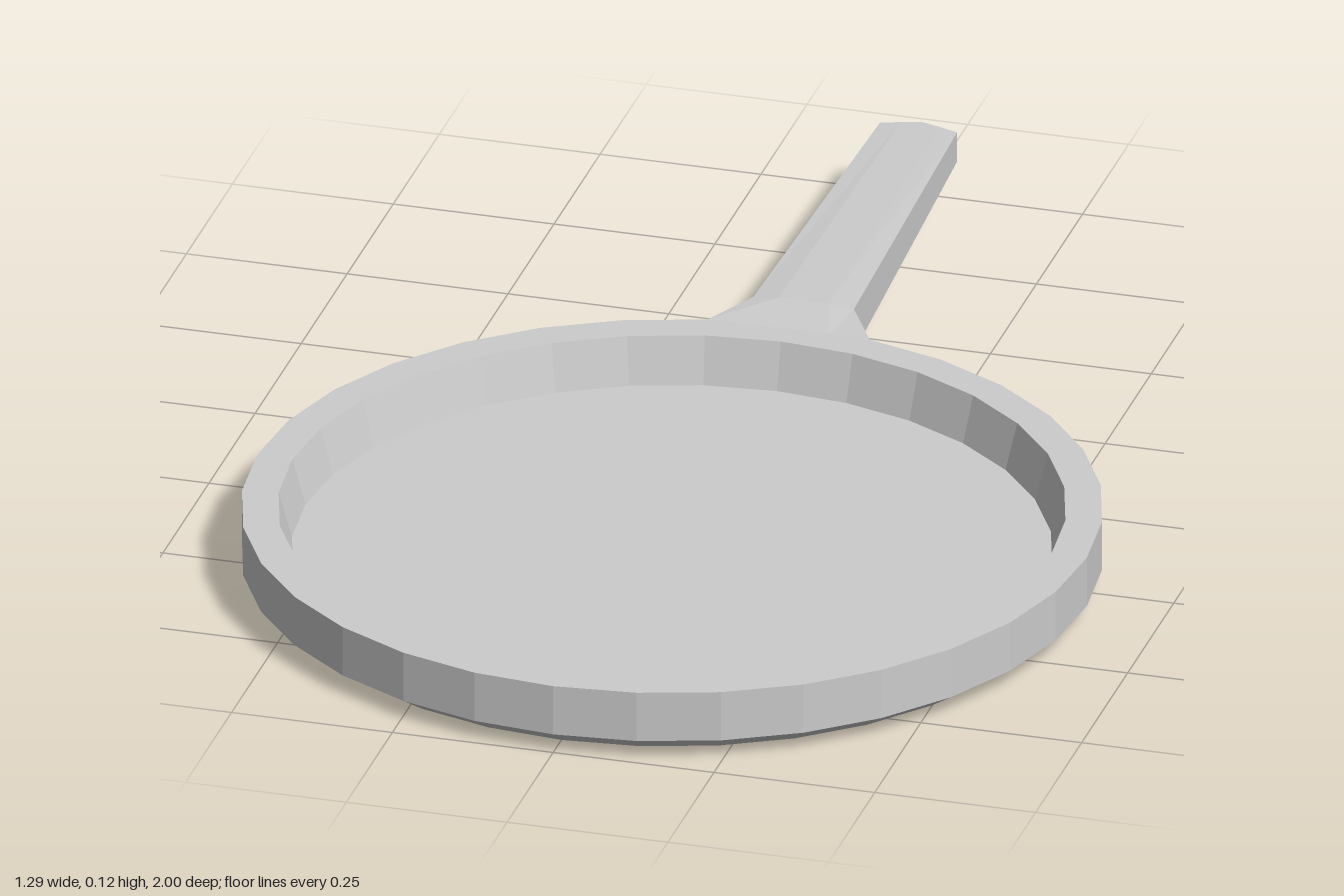
import * as THREE from 'three';

const material = new THREE.MeshStandardMaterial({ color: 0xcccccc, flatShading: true });

// Round dish: 32-sided, chamfered underneath, with a slightly tapered inner wall
function makeDish() {
  const profile = [
    [0, 0], [0.6, 0], [0.645, 0.03], [0.645, 0.11],
    [0.59, 0.11], [0.57, 0.037], [0, 0.037],
  ].map(([r, y]) => new THREE.Vector2(r, y));
  const dish = new THREE.Mesh(new THREE.LatheGeometry(profile, 32), material);
  dish.name = 'dish';
  dish.position.z = 0.355;
  return dish;
}

// Handle lofted through cross-sections from the rim to the tip
function makeHandle() {
  // z, half width, top middle, top edge, bottom edge, bottom middle, tip bevel
  const stations = [
    [-0.265, 0.125, 0.109, 0.109, 0.04, 0.036, 0],
    [-0.28, 0.125, 0.11, 0.11, 0.04, 0.036, 0],
    [-0.36, 0.078, 0.12, 0.116, 0.045, 0.042, 0],
    [-1.0, 0.06, 0.12, 0.119, 0.07, 0.068, 0.018],
  ];
  const positions = [];
  const index = [];
  const n = 8;
  stations.forEach(([z, w, topMid, topEdge, lowEdge, lowMid, bevel], s) => {
    const section = [
      [0, topMid], [0.5, topMid], [1, topEdge], [1, lowEdge],
      [0, lowMid], [-1, lowEdge], [-1, topEdge], [-0.5, topMid],
    ];
    section.forEach(([u, y], i) => {
      positions.push(u * w, y, z + bevel * Math.abs(u));
      if (s === 0) return;
      const j = (i + 1) % n;
      const a = (s - 1) * n + i, b = (s - 1) * n + j;
      index.push(a, b, b + n, a, b + n, a + n);
    });
  });
  // Pointed end cap
  const last = (stations.length - 1) * n;
  for (let i = 1; i < n - 1; i++) index.push(last, last + i, last + i + 1);

  const geometry = new THREE.BufferGeometry();
  geometry.setAttribute('position', new THREE.Float32BufferAttribute(positions, 3));
  geometry.setIndex(index);
  geometry.computeVertexNormals();
  const handle = new THREE.Mesh(geometry, material);
  handle.name = 'handle';
  return handle;
}

export function createModel() {
  const pan = new THREE.Group();
  pan.name = 'pan';
  pan.add(makeDish(), makeHandle());
  return pan;
}
